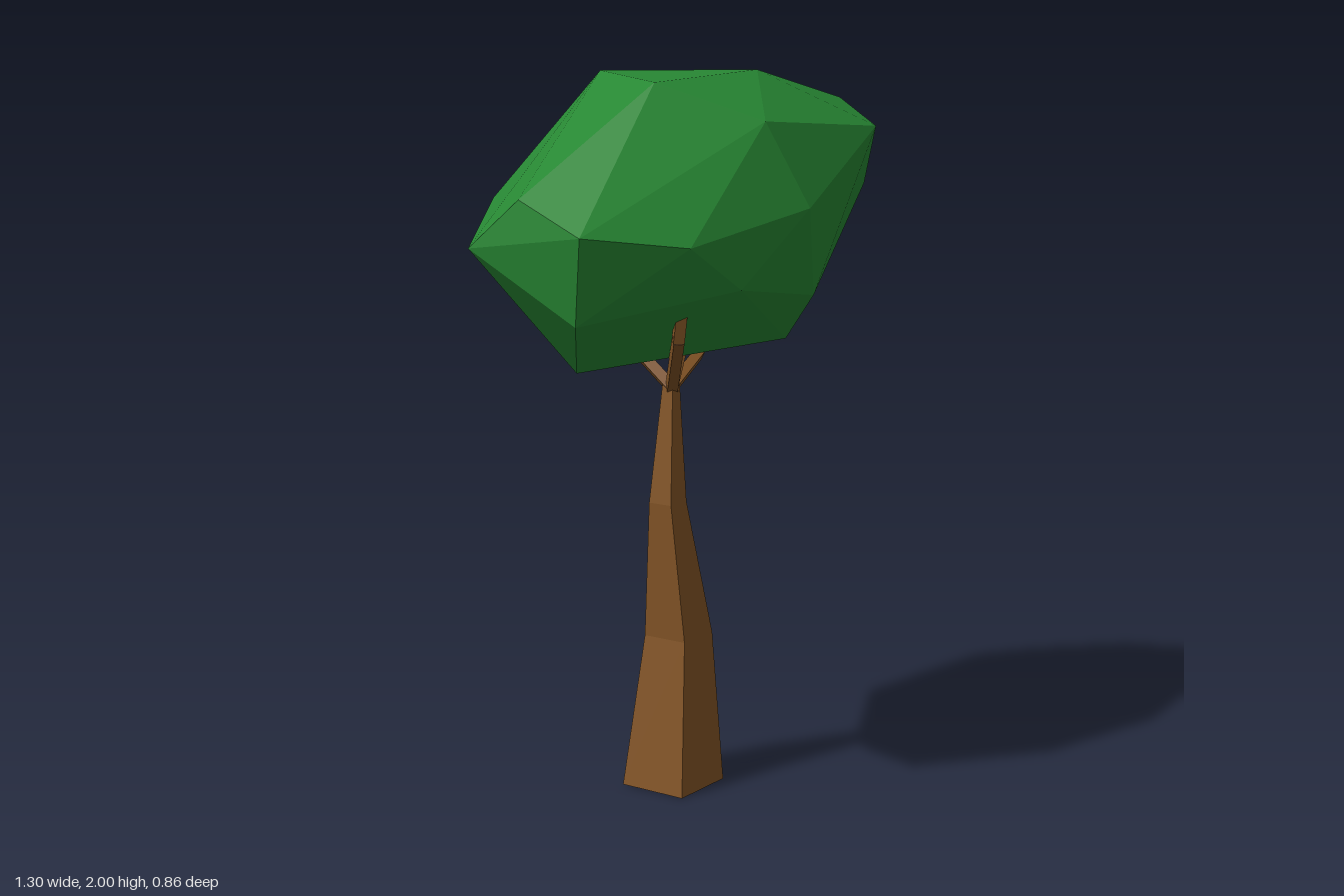
import * as THREE from 'three';
import { ConvexGeometry } from 'three/addons/geometries/ConvexGeometry.js';

export function createModel() {
  const tree = new THREE.Group();
  tree.name = 'tree';
  const bark = new THREE.MeshStandardMaterial({ color: 0x825426, flatShading: true });
  bark.name = 'bark brown';
  const leaf = new THREE.MeshStandardMaterial({ color: 0x278733, flatShading: true });
  leaf.name = 'leaf green';

  const add = (name, geometry, material, parent = tree) => {
    const mesh = new THREE.Mesh(geometry, material);
    mesh.name = name;
    parent.add(mesh);
    return mesh;
  };

  // Trunk: a square column whose levels are shifted and narrowed
  // each level: height, centre x, half width
  const levels = [[0, -0.004, 0.102], [0.43, 0.022, 0.068], [0.82, -0.03, 0.037], [1.15, -0.014, 0.017]];
  const trunk = new THREE.BoxGeometry(2, 3, 2, 1, 3, 1);
  const pos = trunk.attributes.position;
  for (let i = 0; i < pos.count; i++) {
    const [y, cx, half] = levels[Math.round(pos.getY(i) + 1.5)];
    pos.setXYZ(i, cx + pos.getX(i) * half, y, pos.getZ(i) * half - 0.005);
  }
  trunk.computeVertexNormals();
  add('trunk', trunk, bark);

  // Branches: four-sided limbs from the fork, some bent at a knee
  const fork = [-0.014, 1.14, -0.003];
  const branches = {
    frontBranch: [fork, [-0.27, 1.32, 0.2], [-0.28, 1.42, 0.22]],
    sideBranch: [fork, [0.225, 1.195, -0.08], [0.255, 1.34, -0.15]],
    backBranch: [fork, [-0.05, 1.39, -0.28]],
    middleBranch: [fork, [0.015, 1.36, 0.04]],
  };
  const up = new THREE.Vector3(0, 1, 0);
  for (const [name, path] of Object.entries(branches)) {
    const group = new THREE.Group();
    group.name = name;
    tree.add(group);
    const points = path.map((p) => new THREE.Vector3(...p));
    for (let i = 1; i < points.length; i++) {
      const dir = points[i].clone().sub(points[i - 1]);
      const limb = add('limb', new THREE.CylinderGeometry(0.02, 0.021, dir.length() + 0.01, 4), bark, group);
      limb.position.copy(points[i]).add(points[i - 1]).multiplyScalar(0.5);
      limb.quaternion.setFromUnitVectors(up, dir.normalize());
    }
  }

  // Canopy: one faceted convex mass
  const corners = [
    // crown
    [0.2, 2, 0.13], [-0.235, 1.98, 0.1], [-0.09, 2, -0.185], [0.6, 1.91, 0.15], [0.33, 1.84, -0.28],
    // front
    [-0.07, 1.88, 0.335], [0.5, 1.84, 0.33], [0, 1.655, 0.43], [-0.4, 1.58, 0.33], [0.6, 1.67, 0.235],
    // sides
    [0.65, 1.75, -0.02], [-0.635, 1.615, 0.16], [-0.63, 1.7, -0.035], [-0.65, 1.57, -0.185],
    // back
    [-0.25, 1.655, -0.433], [0.46, 1.47, -0.295], [-0.03, 1.47, -0.36],
    // underside
    [0.15, 1.405, 0.35], [-0.2, 1.455, 0.35], [0.54, 1.43, -0.07], [-0.595, 1.385, 0.115],
    [-0.43, 1.235, -0.01], [0.2, 1.27, 0.23], [0.32, 1.28, -0.25],
  ];
  add('canopy', new ConvexGeometry(corners.map((c) => new THREE.Vector3(...c))), leaf);

  return tree;
}
